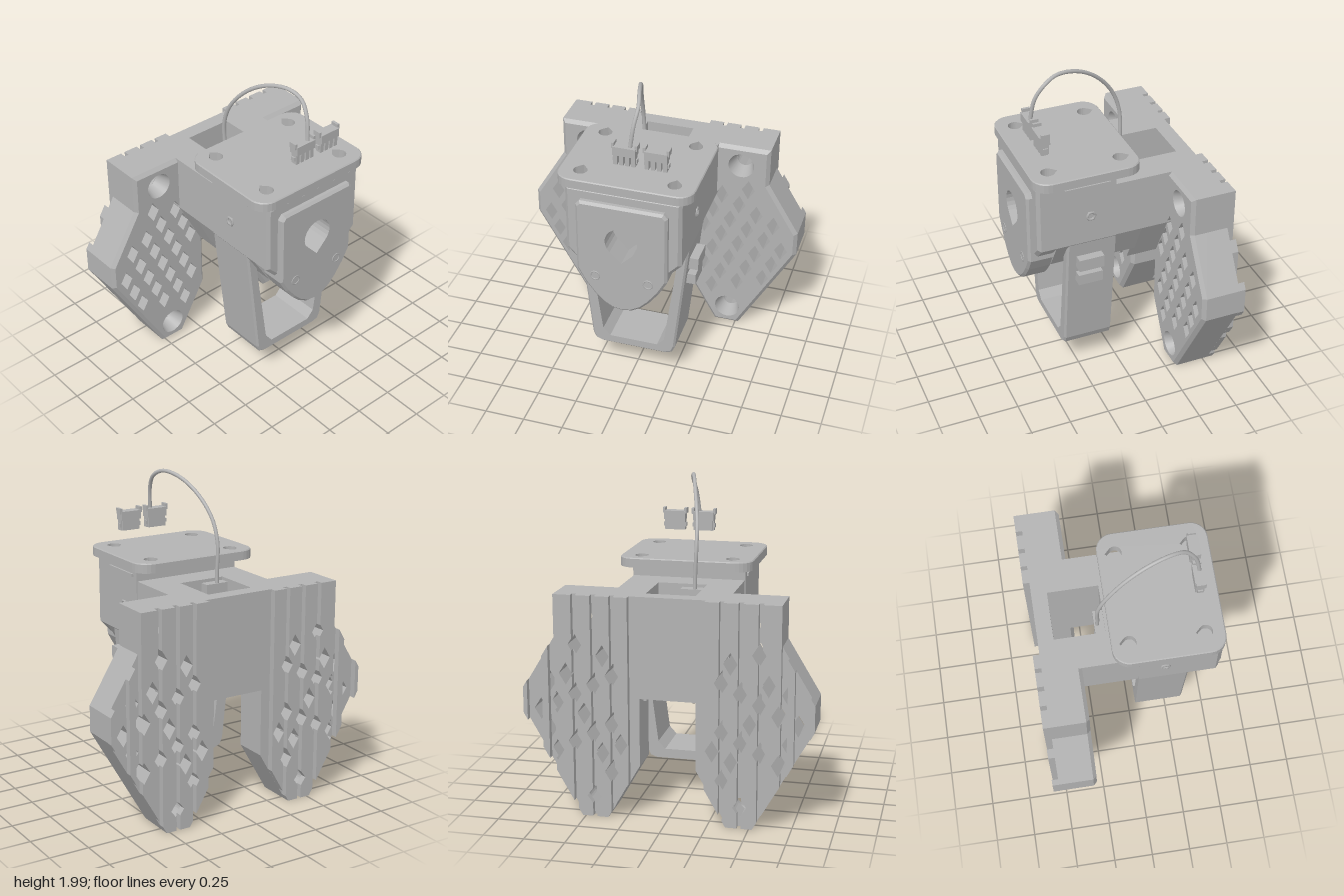
import * as THREE from 'three';

const gray = new THREE.MeshStandardMaterial({ color: 0xb3b3b3, side: THREE.DoubleSide });
gray.name = 'lightGray';

const V = (x, y) => new THREE.Vector2(x, y);
const toPts = (list) => list.map(([x, y]) => V(x, y));

function add(group, name, geometry, x = 0, y = 0, z = 0) {
  const mesh = new THREE.Mesh(geometry, gray);
  mesh.name = name;
  mesh.position.set(x, y, z);
  group.add(mesh);
  return mesh;
}

// Box given by its extents on each axis
function box(group, name, x0, x1, y0, y1, z0, z1) {
  return add(group, name, new THREE.BoxGeometry(x1 - x0, y1 - y0, z1 - z0),
    (x0 + x1) / 2, (y0 + y1) / 2, (z0 + z1) / 2);
}

// Extruded outline from z0 to z1; only its outer front edge is chamfered
function slab(outline, holes, z0, z1, bevel = 0) {
  const pts = THREE.ShapeUtils.area(outline) < 0 ? [...outline].reverse() : outline;
  const shape = new THREE.Shape(pts);
  shape.holes = holes.map((h) => new THREE.Path(h));
  const depth = z1 - z0;
  const geo = new THREE.ExtrudeGeometry(shape, { depth, steps: bevel ? 2 : 1, bevelEnabled: false });
  if (bevel) {
    const n = pts.length;
    const inset = pts.map((p, i) => {
      const a = p.clone().sub(pts[(i + n - 1) % n]).normalize();
      const b = pts[(i + 1) % n].clone().sub(p).normalize();
      const k = bevel / (1 + a.dot(b));
      return V(p.x - (a.y + b.y) * k, p.y + (a.x + b.x) * k);
    });
    const pos = geo.attributes.position;
    for (let i = 0; i < pos.count; i++) {
      const z = pos.getZ(i);
      if (Math.abs(z - depth / 2) < 1e-4) pos.setZ(i, depth - bevel);
      else if (z > depth - 1e-4) {
        const j = pts.findIndex((p) => Math.hypot(p.x - pos.getX(i), p.y - pos.getY(i)) < 1e-4);
        if (j >= 0) pos.setXY(i, inset[j].x, inset[j].y);
      }
    }
    geo.computeVertexNormals();
  }
  return geo.translate(0, 0, z0);
}

// Round hole with a 45 degree tip pointing down (dir -1) or up (dir 1)
function teardrop(x, y, r, dir = -1) {
  const pts = [V(x, y + dir * r * 1.414)];
  for (let i = 0; i <= 18; i++) {
    const a = (-45 + i * 15) * Math.PI / 180;
    pts.push(V(x + r * Math.cos(a), y - dir * r * Math.sin(a)));
  }
  return pts;
}

const circle = (x, y, r) => Array.from({ length: 24 }, (_, i) =>
  V(x + r * Math.cos(i * Math.PI / 12), y + r * Math.sin(i * Math.PI / 12)));
const diamond = (d) => [V(d.x - d.w, d.y), V(d.x, d.y - d.h), V(d.x + d.w, d.y), V(d.x, d.y + d.h)];
const flip = (pts, s) => pts.map((p) => V(p.x * s, p.y));
// Closed outline symmetric about x = 0 from its right half
const mirrored = (half) => toPts([...half, ...half.filter(([x]) => x !== 0).reverse().map(([x, y]) => [-x, y])]);

const wing = toPts([[0.17, 0.34], [0.36, 0.01], [0.52, 0.01], [0.88, 0.64], [0.88, 0.8],
  [0.68, 1.13], [0.68, 1.38], [0.17, 1.38]]);
const screws = [[0.5, 1.25], [0.445, 0.14]];

// Tilted lattice of diamond openings kept clear of edges and screws
function latticeHoles() {
  const out = [];
  for (let i = -12; i <= 12; i++) for (let j = -12; j <= 12; j++) {
    const x = 0.5 + i * 0.113 + j * 0.055, y = 0.66 - i * 0.06 + j * 0.12;
    const clear = wing.every((p, k) => {
      if (k === 5) return true;
      const q = wing[(k + 1) % wing.length], e = q.clone().sub(p).normalize();
      return e.x * (y - p.y) - e.y * (x - p.x) > 0.07;
    });
    if (clear && y < 1.13 && screws.every(([a, b]) => Math.hypot(x - a, y - b) > 0.15))
      out.push({ x, y, w: 0.042, h: 0.068 });
  }
  return out;
}

// Vertical rear rib following the wing outline, notched by the openings
function rib(x0, x1, cuts) {
  const top = (x) => (x <= 0.68 ? 1.38 : 1.13 - (x - 0.68) * 1.65);
  const low = (x) => 0.01 + Math.max(0, 0.36 - x, x - 0.52) * 1.745;
  const narrow = x1 - x0 < 0.08;
  const side = (x, s) => {
    const pts = [];
    const crossing = narrow ? [] : cuts.filter((d) => Math.abs(d.x - x) < d.w - 0.002);
    for (const d of crossing.sort((a, b) => a.y - b.y)) {
      const h = d.h * (1 - Math.abs(d.x - x) / d.w), within = (x - d.x) * s > 0.001;
      pts.push(V(x, d.y - h));
      if (within) pts.push(V(d.x, d.y - d.h));
      pts.push(V(d.x - s * d.w, d.y));
      if (within) pts.push(V(d.x, d.y + d.h));
      pts.push(V(x, d.y + h));
    }
    return pts;
  };
  const kinks = [0.36, 0.52].filter((x) => x > x0 && x < x1).map((x) => V(x, low(x)));
  const outline = [V(x0, low(x0)), ...kinks, V(x1, low(x1)), ...side(x1, 1),
    V(x1, top(x1)), V(x0, top(x0)), ...side(x0, -1).reverse()];
  const holes = cuts.filter((d) => d.x - d.w > x0 + 0.001 && d.x + d.w < x1 - 0.001).map(diamond);
  return { outline, holes };
}

function buildWing(s) {
  const g = new THREE.Group();
  g.name = s > 0 ? 'leftWing' : 'rightWing';
  const cells = latticeHoles();
  const mesh = cells.map((d) => flip(diamond(d), s));
  const wide = screws.map(([x, y]) => circle(x * s, y, 0.082));
  const small = screws.map(([x, y]) => teardrop(x * s, y, 0.05));
  add(g, 'wingFront', slab(flip(wing, s), [...mesh, ...wide], -0.4, -0.3, 0.022));
  add(g, 'wingBack', slab(flip(wing, s), [...mesh, ...small], -0.535, -0.4));
  for (const [x, y] of screws)
    add(g, 'countersink', new THREE.CylinderGeometry(0.082, 0.052, 0.1, 24, 1, true).rotateX(Math.PI / 2), x * s, y, -0.35);
  const cuts = [...cells, ...screws.map(([x, y]) => ({ x, y, w: 0.044, h: 0.06 }))];
  for (const [a, b] of [[0.23, 0.315], [0.34, 0.428], [0.455, 0.545], [0.572, 0.68], [0.72, 0.76], [0.855, 0.88]]) {
    const r = rib(a, b, cuts);
    add(g, 'rearRib', slab(flip(r.outline, s), r.holes.map((h) => flip(h, s)), -0.575, -0.535));
  }
  return g;
}

function buildConnector(x) {
  const g = new THREE.Group();
  g.name = 'plugConnector';
  box(g, 'plugHousing', x - 0.068, x + 0.068, 1.675, 1.73, 0.405, 0.47);
  box(g, 'plugBack', x - 0.06, x + 0.06, 1.61, 1.68, 0.41, 0.43);
  for (let i = 0; i < 4; i++) {
    const c = x - 0.054 + i * 0.036;
    box(g, 'plugProng', c - 0.012, c + 0.012, 1.61, 1.68, 0.42, 0.46);
  }
  for (const s of [-1, 1]) {
    box(g, 'plugTab', x + s * 0.07 - 0.008, x + s * 0.07 + 0.008, 1.715, 1.75, 0.41, 0.46);
    box(g, 'plugEar', x + s * 0.066 - 0.008, x + s * 0.066 + 0.008, 1.63, 1.655, 0.42, 0.45);
  }
  return g;
}

export function createModel() {
  const model = new THREE.Group();
  model.name = 'bracketAssembly';
  model.add(buildWing(1), buildWing(-1));

  // Frame joining the wings to the front body around an open shaft
  box(model, 'rearBridge', -0.25, 0.25, 0.76, 1.38, -0.535, -0.44);
  for (const s of [-1, 1]) {
    add(model, 'rearArm', slab(flip(toPts([[0.15, 0.72], [0.2, 0.72], [0.35, 1.02], [0.35, 1.38], [0.15, 1.38]]), s), [], -0.44, -0.1));
  }
  const neck = mirrored([[0.25, 0.81], [0.35, 1.02], [0.35, 1.38]]);
  add(model, 'neckBlock', slab(neck, [], -0.13, 0.05));
  box(model, 'cableClip', -0.18, 0, 1.3, 1.36, -0.19, -0.13);

  // Front body with a teardrop pocket
  const body = mirrored([[0.24, 0.83], [0.355, 1.02], [0.355, 1.46]]);
  const pocket = teardrop(0, 1.14, 0.1);
  add(model, 'bodyRear', slab(body, [], 0.04, 0.42));
  const bodyFront = mirrored([[0.27, 0.93], [0.355, 1.02], [0.355, 1.46]]);
  add(model, 'bodyFront', slab(bodyFront, [pocket], 0.42, 0.535, 0.02));
  const shield = mirrored([[0, 0.645], [0.06, 0.655], [0.12, 0.69], [0.17, 0.74], [0.23, 0.82],
    [0.28, 0.91], [0.28, 1.36], [0.255, 1.39]]);
  add(model, 'frontShield', slab(shield, [pocket], 0.42, 0.572, 0.015));
  for (const s of [-1, 1]) {
    add(model, 'shieldRivet', new THREE.TorusGeometry(0.028, 0.006, 6, 20), s * 0.165, 0.88, 0.57);
    add(model, 'sideSocket', new THREE.TorusGeometry(0.026, 0.009, 6, 6).rotateY(Math.PI / 2), s * 0.355, 1.2, 0.2);
    box(model, 'sideLatch', s * 0.355 - 0.012, s * 0.355 + 0.012, 1.44, 1.46, 0.07, 0.36);
    box(model, 'sideLatchLip', s * 0.355 - 0.012, s * 0.355 + 0.012, 1.4, 1.42, 0.08, 0.365);
  }

  // Tapered loop below the body
  const loop = mirrored([[0.21, 0.19], [0.25, 0.205], [0.27, 0.25], [0.352, 1.02]]);
  const loopHole = mirrored([[0.155, 0.25], [0.2, 0.3], [0.285, 0.94]]);
  add(model, 'lowerLoop', slab(loop, [loopHole], 0.04, 0.35, 0.012));
  box(model, 'upperButton', 0.3, 0.395, 0.84, 0.92, 0.13, 0.29);
  box(model, 'lowerButton', 0.3, 0.38, 0.73, 0.8, 0.135, 0.29);

  // Top mounting plate with rounded corners
  const plate = [], r = 0.1;
  [[0.315, 0.015], [-0.315, 0.015], [-0.315, -0.455], [0.315, -0.455]].forEach(([x, y], q) => {
    for (let i = 0; i <= 6; i++) {
      const a = (q + i / 6) * Math.PI / 2;
      plate.push(V(x + r * Math.cos(a), y + r * Math.sin(a)));
    }
  });
  const plateHoles = [-0.285, 0.285].flatMap((x) => [0.01, -0.44].map((y) => teardrop(x, y, 0.042, 1)));
  add(model, 'topPlate', slab(plate, plateHoles, 1.46, 1.52, 0.006).rotateX(-Math.PI / 2));

  // Plugs and cable
  model.add(buildConnector(-0.01), buildConnector(0.178));
  const path = [[0.02, 1.72, 0.445], [0.035, 1.86, 0.42], [0.045, 1.95, 0.36], [0.025, 1.988, 0.28],
    [-0.01, 1.97, 0.15], [-0.05, 1.89, 0.01], [-0.085, 1.75, -0.11], [-0.092, 1.6, -0.165],
    [-0.085, 1.4, -0.17], [-0.085, 1.1, -0.19], [-0.085, 0.8, -0.225], [-0.085, 0.7, -0.215],
    [-0.075, 0.645, -0.16], [-0.055, 0.627, -0.05]].map((p) => new THREE.Vector3(...p));
  add(model, 'cable', new THREE.TubeGeometry(new THREE.CatmullRomCurve3(path), 90, 0.012, 10));
  return model;
}
